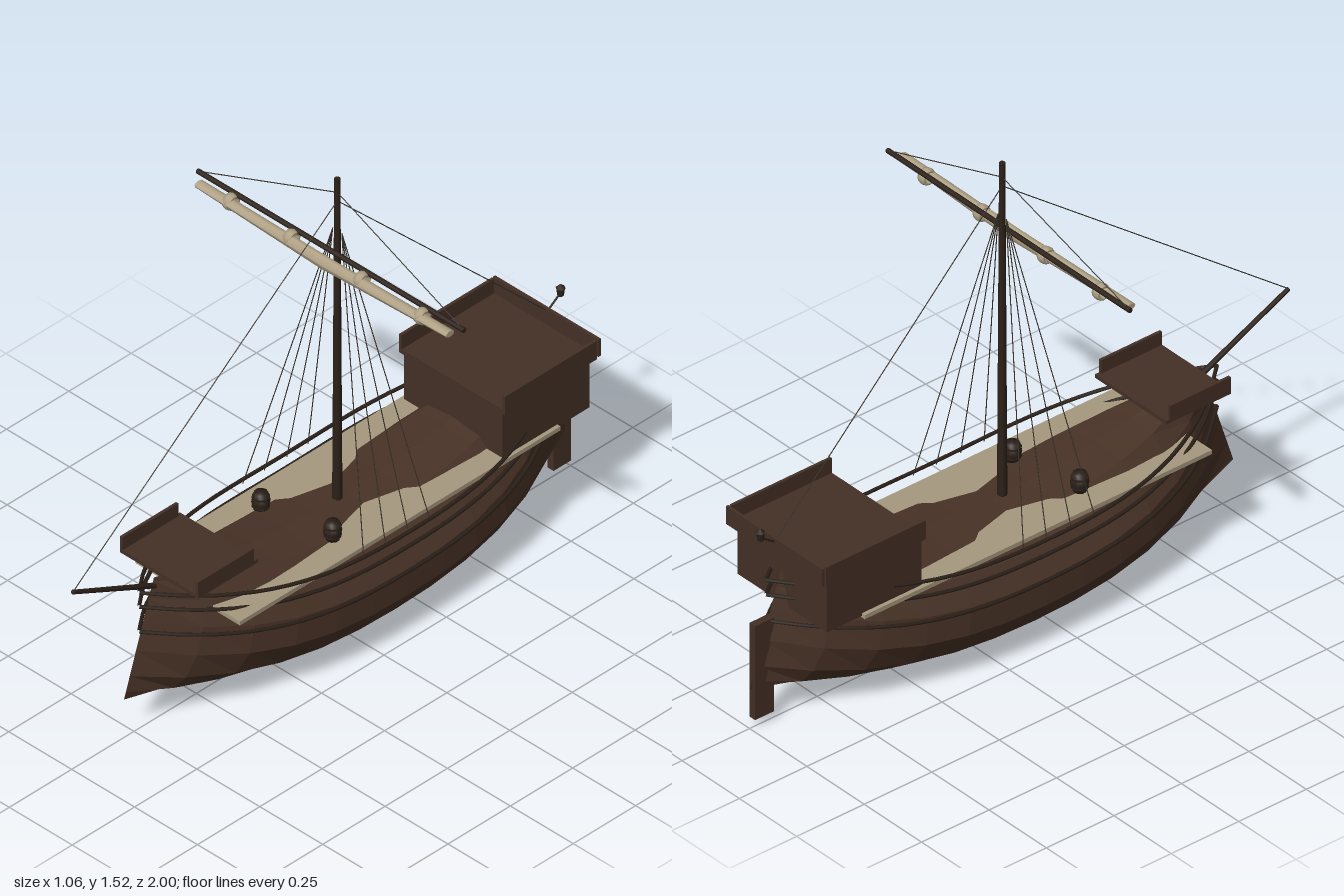
import * as THREE from 'three';

const mat = (name, color, extra = {}) => {
  const m = new THREE.MeshStandardMaterial({ color, ...extra });
  m.name = name;
  return m;
};

export function createModel() {
  const ship = new THREE.Group();
  ship.name = 'sailingShip';
  const hullWood = mat('hull wood', 0x483226, { flatShading: true });
  const cabinWood = mat('cabin wood', 0x443026);
  const darkWood = mat('dark wood', 0x2c2119);
  const deckWood = mat('pale deck', 0xa6987e);
  const canvas = mat('canvas', 0xb0a185);
  const rope = mat('rope', 0x3a332a);
  const V = (x, y, z) => new THREE.Vector3(x, y, z);

  const add = (name, geo, material, x = 0, y = 0, z = 0, parent = ship) => {
    const mesh = new THREE.Mesh(geo, material);
    mesh.name = name;
    mesh.position.set(x, y, z);
    parent.add(mesh);
    return mesh;
  };
  // Box given by its limits on each axis
  const box = (name, m, x0, x1, y0, y1, z0, z1) =>
    add(name, new THREE.BoxGeometry(x1 - x0, y1 - y0, z1 - z0), m, (x0 + x1) / 2, (y0 + y1) / 2, (z0 + z1) / 2);
  // Round bar between two points
  const bar = (name, m, a, b, r0, r1 = r0, sides = 8) => {
    const mesh = add(name, new THREE.CylinderGeometry(r1, r0, a.distanceTo(b), sides), m);
    mesh.position.copy(a).lerp(b, 0.5);
    mesh.quaternion.setFromUnitVectors(V(0, 1, 0), b.clone().sub(a).normalize());
    return mesh;
  };

  // Hull: closed cross-sections pinched to a raked edge at bow and stern
  const half = [[0, 0], [0.105, 0.06], [0.19, 0.19], [0.245, 0.4], [0.245, 0.635], [0.195, 0.83], [0.125, 0.97], [0, 1]];
  const ring = [...half, ...half.slice(1, -1).reverse().map(([x, v]) => [-x, v])];
  const stations = 12, n = ring.length, pos = [], index = [];
  for (let i = 0; i <= stations; i++) {
    const t = (i / stations) * 2 - 1;
    const width = 1 - Math.abs(t) ** 3;
    const low = 0.134 * t * t, high = 0.39 + 0.112 * t * t;
    for (const [x, v] of ring) pos.push(x * width, low + (high - low) * v, t * (0.895 - 0.12 * v) - 0.105);
  }
  for (let i = 0; i < stations; i++) {
    for (let k = 0; k < n; k++) {
      const a = i * n + k, b = i * n + (k + 1) % n;
      index.push(a, b, b + n, a, b + n, a + n);
    }
  }
  const hull = new THREE.BufferGeometry();
  hull.setAttribute('position', new THREE.Float32BufferAttribute(pos, 3));
  hull.setIndex(index);
  hull.computeVertexNormals();
  add('hull', hull, hullWood);

  // Wales and rail running around each side
  for (const side of [-1, 1]) {
    for (const y of [0.385, 0.335, 0.247]) {
      const pts = [];
      for (let i = 0; i <= 16; i++) {
        const t = i / 8 - 1;
        pts.push(V(side * 0.252 * (1 - Math.abs(t) ** 3), y + 0.095 * t * t, t * 0.835 - 0.105));
      }
      add('wale', new THREE.TubeGeometry(new THREE.CatmullRomCurve3(pts), 32, 0.006, 6), darkWood);
    }
  }

  // Deck planking and rudder
  box('deck', deckWood, -0.208, 0.208, 0.37, 0.384, -0.75, 0.535);
  box('rudder', cabinWood, -0.012, 0.012, 0.03, 0.35, -0.99, -0.92);

  // Stern cabin with a walled roof
  box('cabin', cabinWood, -0.195, 0.195, 0.375, 0.55, -0.88, -0.53);
  box('cabinRoof', cabinWood, -0.21, 0.21, 0.545, 0.56, -0.895, -0.525);
  for (const s of [-1, 1]) box('cabinRoofSide', cabinWood, s * 0.205 - 0.005, s * 0.205 + 0.005, 0.55, 0.61, -0.895, -0.525);
  box('cabinRoofBack', cabinWood, -0.21, 0.21, 0.55, 0.61, -0.91, -0.9);

  // Raised bow platform with side boards
  box('bowPlatform', cabinWood, -0.155, 0.155, 0.498, 0.51, 0.41, 0.65);
  for (const s of [-1, 1]) box('bowPlatformSide', cabinWood, s * 0.15 - 0.005, s * 0.15 + 0.005, 0.5, 0.555, 0.425, 0.65);

  // Bowsprit, mast and yard
  const mastZ = -0.065, tip = V(0, 0.625, 0.995);
  bar('bowsprit', darkWood, V(0, 0.45, 0.62), tip, 0.009, 0.007);
  bar('mast', darkWood, V(0, 0.36, mastZ), V(0, 1.52, mastZ), 0.015, 0.009, 10);
  bar('yard', darkWood, V(-0.53, 1.277, -0.04), V(0.53, 1.277, -0.04), 0.008);

  // Furled sail: a roll that hangs deeper in the middle
  const roll = new THREE.CylinderGeometry(1, 1, 1, 10, 16);
  roll.rotateZ(Math.PI / 2);
  const p = roll.attributes.position;
  for (let i = 0; i < p.count; i++) {
    const x = p.getX(i), r = 0.024 - 0.028 * Math.abs(x);
    p.setXYZ(i, x, 1.273 - r + p.getY(i) * r, -0.013 + p.getZ(i) * 0.017);
  }
  roll.computeVertexNormals();
  add('furledSail', roll, canvas);
  for (const x of [-0.38, -0.14, 0.14, 0.38]) {
    const tie = add('sailTie', new THREE.TorusGeometry(0.02, 0.007, 6, 12), canvas, x, 1.258, -0.022);
    tie.rotation.y = Math.PI / 2;
    tie.scale.z = 2.2;
  }

  // Stays, yard lifts and shrouds
  const line = (name, a, b) => bar(name, rope, a, b, 0.0016, 0.0016, 5);
  line('forestay', V(0, 1.44, mastZ), tip);
  line('backstay', V(0, 1.44, mastZ), V(0, 0.605, -0.9));
  for (const s of [-1, 1]) {
    line('yardLift', V(0, 1.47, mastZ), V(s * 0.52, 1.28, -0.04));
    for (const z of [0.072, -0.015, -0.105, -0.19]) line('shroud', V(s * 0.018, 1.335, mastZ), V(s * 0.24, 0.385, z));
  }

  // Barrels on deck
  const barrel = [[0, -0.03], [0.021, -0.03], [0.028, 0], [0.021, 0.03], [0, 0.03]].map(([r, y]) => new THREE.Vector2(r, y));
  for (const [x, z] of [[-0.12, 0.12], [0.12, 0.075]]) {
    add('barrel', new THREE.LatheGeometry(barrel, 10), darkWood, x, 0.414, z);
    for (const y of [-0.015, 0.015]) {
      add('barrelHoop', new THREE.CylinderGeometry(0.0265, 0.0265, 0.006, 10), darkWood, x, 0.414 + y, z);
    }
  }

  // Stern lantern on its bracket
  bar('lanternBracket', darkWood, V(0, 0.595, -0.905), V(0, 0.632, -0.958), 0.003);
  add('lantern', new THREE.CylinderGeometry(0.013, 0.01, 0.026, 6), darkWood, 0, 0.638, -0.96);
  add('lanternCap', new THREE.ConeGeometry(0.015, 0.014, 6), darkWood, 0, 0.658, -0.96);
  return ship;
}
